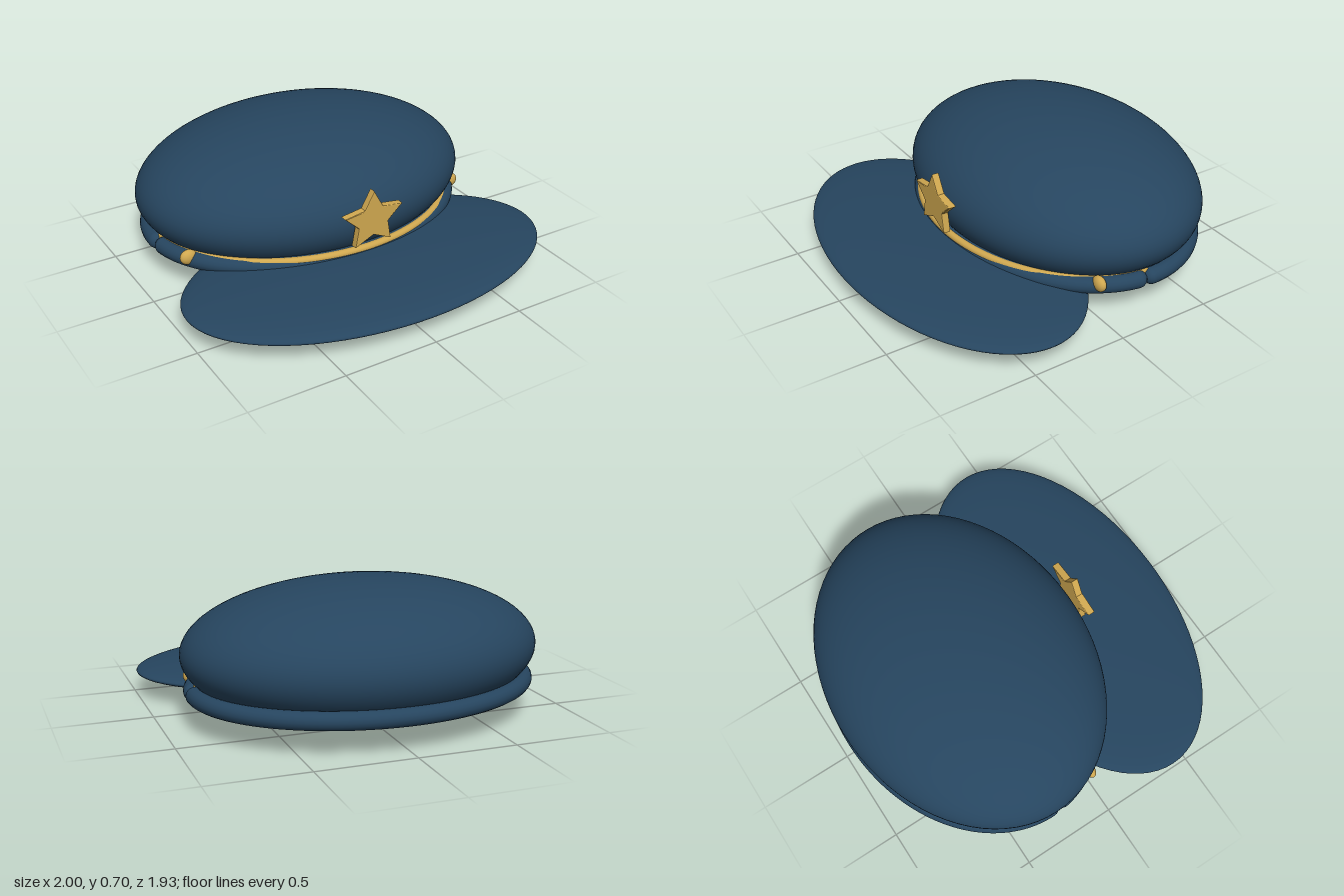
import * as THREE from 'three';

const CENTRE_Z = -0.28; // middle of the head opening

// Part of a level ellipse around the head opening; angle 0 is +x, PI/2 the front
class EllipseArc extends THREE.Curve {
  constructor(rx, rz, y, from, to) {
    super();
    Object.assign(this, { rx, rz, y, from, to });
  }
  getPoint(t, target = new THREE.Vector3()) {
    const a = this.from + (this.to - this.from) * t;
    return target.set(this.rx * Math.cos(a), this.y, CENTRE_Z + this.rz * Math.sin(a));
  }
}

export function createModel() {
  const group = new THREE.Group();
  const navy = new THREE.MeshStandardMaterial({ color: 0x26455f });
  navy.name = 'navy cloth';
  const gold = new THREE.MeshStandardMaterial({ color: 0xd0a850 });
  gold.name = 'gold';

  const add = (name, geometry, material) => {
    const mesh = new THREE.Mesh(geometry, material);
    mesh.name = name;
    group.add(mesh);
    return mesh;
  };
  const ellipsoid = (name, material, radii, position, segments = 64) => {
    const mesh = add(name, new THREE.SphereGeometry(1, segments, segments / 2), material);
    mesh.scale.set(...radii);
    mesh.position.set(...position);
    return mesh;
  };

  // Puffed crown and flat brim
  ellipsoid('crown', navy, [0.91, 0.35, 0.685], [0, 0.355, CENTRE_Z], 80);
  ellipsoid('visor', navy, [1, 0.07, 0.565], [0, 0.127, 0.4], 80);

  // Padded band in a front and a back piece with rounded ends
  const R = 0.045;
  const bandPiece = (name, from, to) => {
    const arc = new EllipseArc(0.85, 0.64, 0.177, from, to);
    add(name, new THREE.TubeGeometry(arc, 96, R, 16), navy);
    for (const t of [0, 1]) {
      ellipsoid(name + 'End', navy, [R, R, R], arc.getPoint(t).toArray(), 20);
    }
  };
  bandPiece('frontBand', 0.122, Math.PI - 0.122);
  bandPiece('backBand', Math.PI - 0.003, Math.PI * 2 + 0.003);

  // Gold cord tucked behind the front band
  const cord = new EllipseArc(0.83, 0.66, 0.205, 0.03, Math.PI - 0.03);
  add('cord', new THREE.TubeGeometry(cord, 96, 0.02, 12), gold);

  // Side buttons
  for (const side of [-1, 1]) {
    ellipsoid(side > 0 ? 'leftButton' : 'rightButton', gold,
      [0.045, 0.04, 0.028], [side * 0.8, 0.202, 0], 24);
  }

  // Star badge, slightly wider than tall
  const bevel = 0.006;
  const points = [];
  for (let i = 0; i < 10; i++) {
    const r = i % 2 ? 0.5 : 1;
    const a = Math.PI / 2 + (i * Math.PI) / 5;
    points.push(new THREE.Vector2(0.167 * r * Math.cos(a), 0.152 * r * Math.sin(a)));
  }
  const starGeometry = new THREE.ExtrudeGeometry(new THREE.Shape(points), {
    depth: 0.04 - 2 * bevel, bevelEnabled: true,
    bevelThickness: bevel, bevelSize: bevel, bevelSegments: 2,
  });
  add('starBadge', starGeometry, gold).position.set(0, 0.396, 0.412 + bevel);

  return group;
}
